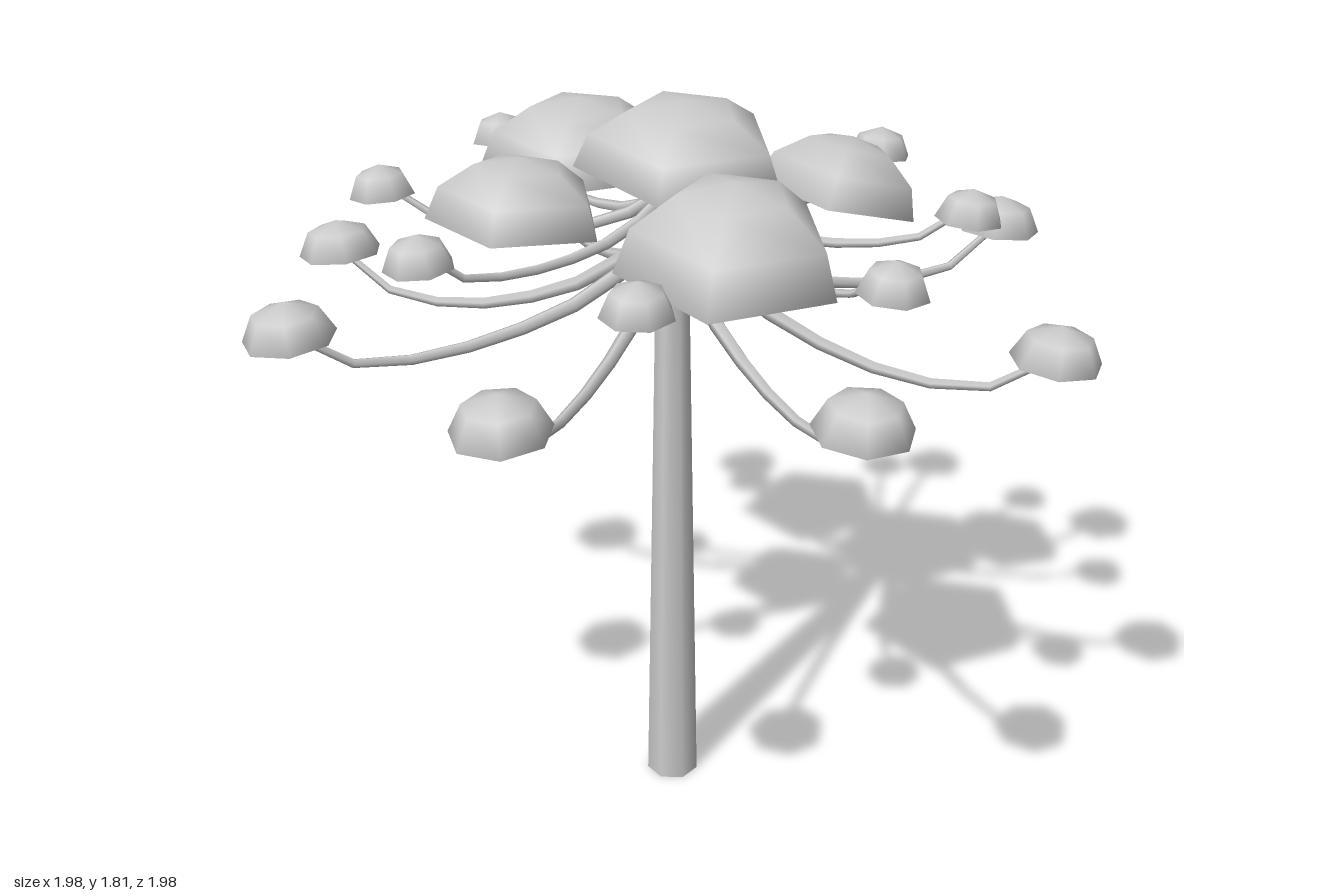
import * as THREE from 'three';

const grey = new THREE.MeshStandardMaterial({ color: 0xcccccc, side: THREE.DoubleSide });

function add(parent, geometry, name) {
  const mesh = new THREE.Mesh(geometry, grey);
  mesh.name = name;
  parent.add(mesh);
  return mesh;
}

// Open half-sphere with few sides; one corner points to `start`; leans toward (dx, dz) by `tilt`
function dome(parent, name, [x, y, z], radius, height, sides, rings, start, tilt = 0, dx = 0, dz = 0) {
  const geo = new THREE.SphereGeometry(1, sides, rings, start, Math.PI * 2, 0, Math.PI / 2);
  geo.scale(radius, height, radius);
  const mesh = add(parent, geo, name);
  mesh.position.set(x, y, z);
  mesh.rotation.set(tilt * dz, 0, -tilt * dx);
}

// Tube along [distance, height] points in the direction of `angle`, thinning to the tip
function branch(parent, name, profile, angle, r0, r1) {
  const steps = 7, sides = 5;
  const curve = new THREE.CatmullRomCurve3(profile.map(([d, y]) =>
    new THREE.Vector3(d * Math.cos(angle), y, d * Math.sin(angle))));
  const geo = new THREE.TubeGeometry(curve, steps, 1, sides);
  const pos = geo.attributes.position, v = new THREE.Vector3();
  for (let i = 0; i < pos.count; i++) {
    const t = Math.floor(i / (sides + 1)) / steps;
    const centre = curve.getPointAt(t);
    v.fromBufferAttribute(pos, i).sub(centre).multiplyScalar(r0 + (r1 - r0) * t).add(centre);
    pos.setXYZ(i, v.x, v.y, v.z);
  }
  add(parent, geo, name);
}

export function createModel() {
  const tree = new THREE.Group();
  tree.name = 'tree';

  // Trunk
  const trunk = add(tree, new THREE.CylinderGeometry(0.035, 0.067, 1.68, 7), 'trunk');
  trunk.position.y = 0.84;

  // Lower ring: eight long drooping branches, each with a leaf cap (rim heights in turn from +x)
  const lower = new THREE.Group();
  lower.name = 'lowerBranches';
  tree.add(lower);
  const rims = [1.395, 1.325, 1.395, 1.4, 1.395, 1.345, 1.395, 1.37];
  rims.forEach((rim, i) => {
    const a = i * Math.PI / 4, drop = rim - 1.395;
    branch(lower, 'lowerBranch', [[0.02, 1.5], [0.08, 1.46], [0.2, 1.385 + drop * 0.3], [0.37, 1.33 + drop * 0.7],
      [0.57, 1.3 + drop], [0.76, 1.31 + drop], [0.87, 1.385 + drop]], a, 0.021, 0.009);
    dome(lower, 'lowerLeafCap', [0.895 * Math.cos(a), rim - 0.005, 0.895 * Math.sin(a)],
      0.104, 0.085, 7, 2, -a, 0.08, Math.cos(a), Math.sin(a));
  });

  // Upper ring: eight shorter branches turned between the lower ones
  const upper = new THREE.Group();
  upper.name = 'upperBranches';
  tree.add(upper);
  const tips = [[0.64, -0.17], [0.57, 0.35], [0.18, 0.68], [-0.33, 0.58],
    [-0.64, 0.15], [-0.58, -0.36], [-0.18, -0.68], [0.32, -0.6]];
  for (const [x, z] of tips) {
    const a = Math.atan2(z, x), r = Math.hypot(x, z);
    branch(upper, 'upperBranch', [[0.02, 1.6], [0.07, 1.565], [0.16, 1.525], [0.3, 1.5],
      [0.45, 1.5], [0.56, 1.52], [r - 0.03, 1.575]], a, 0.016, 0.008);
    dome(upper, 'upperLeafCap', [x, 1.565, z], 0.078, 0.072, 7, 2, -a, 0.08, Math.cos(a), Math.sin(a));
  }

  // Crown: five large pentagonal leaf domes
  const crown = new THREE.Group();
  crown.name = 'crown';
  tree.add(crown);
  const domes = [
    ['topDome', [0.03, 1.655, -0.01], 0.25, 0.155, 0.1, 0, 1],
    ['frontDome', [-0.045, 1.55, 0.4], 0.247, 0.2, 0.1, 0, 1],
    ['backDome', [-0.06, 1.56, -0.43], 0.245, 0.165, -0.05, 0, -1],
    ['leftDome', [0.405, 1.55, 0.04], 0.2, 0.145, 0.25, 1, 0],
    ['rightDome', [-0.37, 1.58, 0], 0.205, 0.145, -0.08, -1, 0],
  ];
  for (const [name, at, radius, height, tilt, dx, dz] of domes) {
    dome(crown, name, at, radius, height, 5, 3, -Math.PI / 2, tilt, dx, dz);
  }

  return tree;
}
